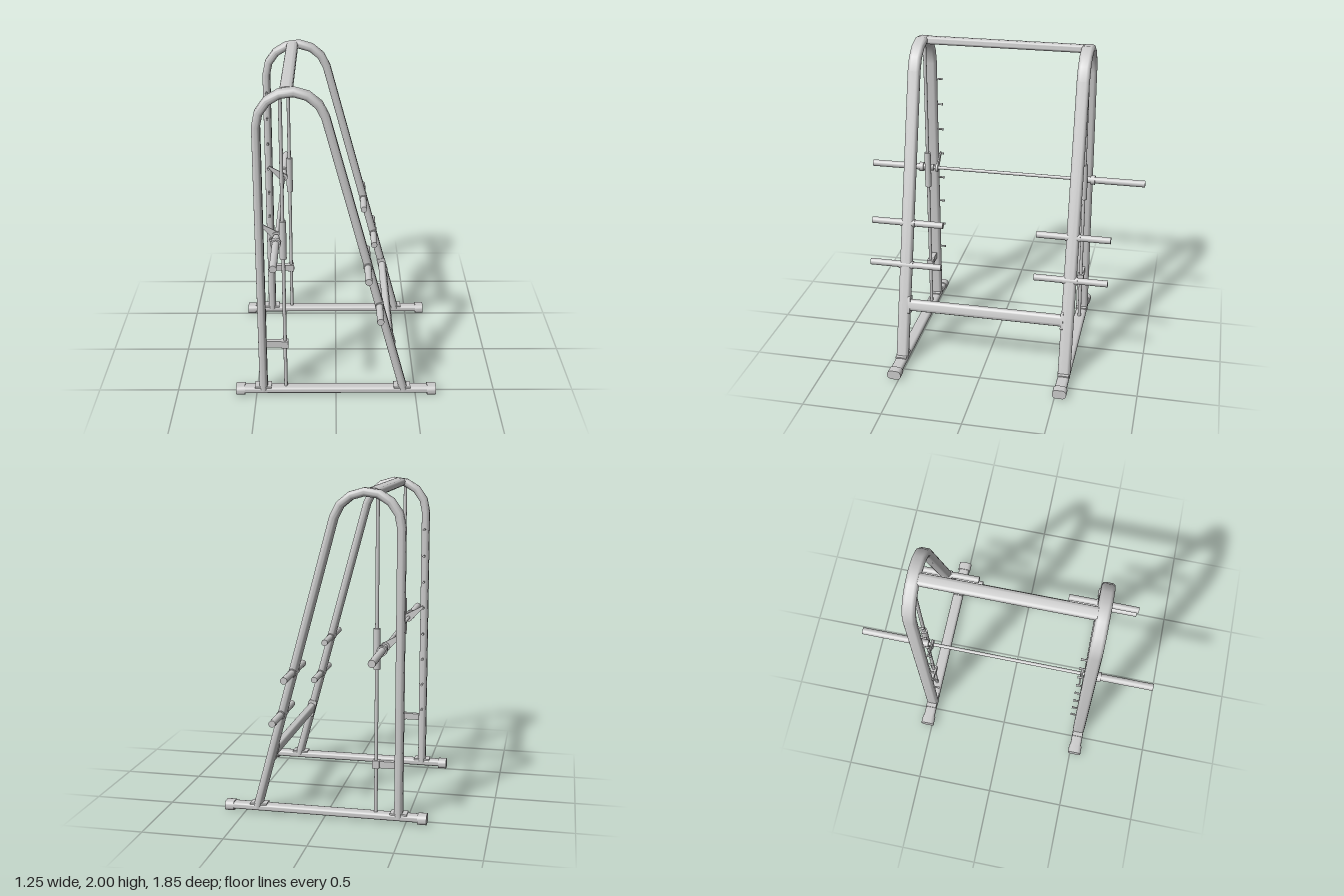
import * as THREE from 'three';
import { toCreasedNormals } from 'three/addons/utils/BufferGeometryUtils.js';

const material = new THREE.MeshStandardMaterial({ color: 0xcccccc });
const LEAN = Math.atan(0.27); // lean of the sloping legs
const FRAME_Z = 0.53;

function add(parent, name, geometry, x = 0, y = 0, z = 0) {
  const mesh = new THREE.Mesh(geometry, material);
  mesh.name = name;
  mesh.position.set(x, y, z);
  parent.add(mesh);
  return mesh;
}

// Flat oval outline, counter-clockwise, with rounded corners of radius r
function oval(w, h, r, steps = 5) {
  const points = [];
  for (let corner = 0; corner < 4; corner++) {
    const sx = corner === 0 || corner === 3 ? 1 : -1;
    const sy = corner < 2 ? 1 : -1;
    for (let i = 0; i <= steps; i++) {
      const a = (corner + i / steps) * Math.PI / 2;
      points.push(new THREE.Vector2(sx * (w / 2 - r) + r * Math.cos(a), sy * (h / 2 - r) + r * Math.sin(a)));
    }
  }
  return points;
}

// Straight oval bar along z, centred
function ovalBar(w, h, r, length) {
  const geo = new THREE.ExtrudeGeometry(new THREE.Shape(oval(w, h, r)), { depth: length, bevelEnabled: false });
  return toCreasedNormals(geo.translate(0, 0, -length / 2), 0.7);
}

// Round bar running along z from z0 to z1
function roundBar(parent, name, r, x, y, z0, z1, sides = 20) {
  const geo = new THREE.CylinderGeometry(r, r, Math.abs(z1 - z0), sides).rotateX(Math.PI / 2);
  return add(parent, name, geo, x, y, (z0 + z1) / 2);
}

// Sweep a section along a path in the xy plane with mitred joints
function sweep(path, section) {
  const positions = [], index = [], n = section.length;
  path.forEach((p, i) => {
    const before = p.clone().sub(path[Math.max(i - 1, 0)]).normalize();
    const after = path[Math.min(i + 1, path.length - 1)].clone().sub(p).normalize();
    const t = before.clone().add(after).normalize();
    const miter = 1 / Math.max(t.dot(before), t.dot(after));
    for (const s of section) positions.push(p.x - t.y * s.x * miter, p.y + t.x * s.x * miter, s.y);
    if (i === 0) return;
    for (let j = 0; j < n; j++) {
      const k = (j + 1) % n, a = (i - 1) * n, b = i * n;
      index.push(a + j, a + k, b + k, a + j, b + k, b + j);
    }
  });
  const geo = new THREE.BufferGeometry();
  geo.setAttribute('position', new THREE.Float32BufferAttribute(positions, 3));
  geo.setIndex(index);
  return toCreasedNormals(geo, 0.7);
}

function buildSide(s) {
  const side = new THREE.Group();
  side.name = s > 0 ? 'frontFrame' : 'backFrame';
  const z = s * FRAME_Z;

  // Arched tube: upright, rounded top, sloping leg
  const path = [new THREE.Vector2(-0.455, 0.03)];
  const r = 0.202, segments = 7;
  for (let i = 0; i <= segments; i++) {
    const a = Math.PI + (LEAN - Math.PI) * i / segments;
    path.push(new THREE.Vector2(-0.253 + r * Math.cos(a), 1.774 + r * Math.sin(a)));
  }
  path.push(new THREE.Vector2(0.425, 0.03));
  add(side, 'archedTube', sweep(path, oval(0.05, 0.08, 0.022)), 0, 0, z);

  // Foot rail with end caps and base plates
  add(side, 'footRail', ovalBar(0.075, 0.042, 0.019, 1.2).rotateY(Math.PI / 2), 0, 0.033, z);
  for (const e of [-1, 1])
    add(side, 'footCap', ovalBar(0.088, 0.06, 0.026, 0.055).rotateY(Math.PI / 2), e * 0.6, 0.03, z);
  for (const x of [-0.457, 0.415])
    add(side, 'basePlate', new THREE.BoxGeometry(0.104, 0.01, 0.07), x, 0.056, z);

  // Guide rod, sliding sleeve and lower stop bracket
  add(side, 'guideRod', new THREE.CylinderGeometry(0.011, 0.011, 1.91, 16), -0.315, 0.995, z);
  add(side, 'slidingSleeve', new THREE.CylinderGeometry(0.021, 0.021, 0.245, 20), -0.315, 1.063, z);
  add(side, 'bracketArm', new THREE.BoxGeometry(0.11, 0.042, 0.03), -0.385, 0.357, z);
  add(side, 'bracketClip', new THREE.BoxGeometry(0.042, 0.048, 0.042), -0.316, 0.357, z);

  // Safety pegs up the inside of the upright
  for (let i = 0; i < 8; i++) {
    const y = 0.425 + i * 0.1764;
    roundBar(side, 'safetyPeg', 0.006, -0.455, y, s * 0.455, s * 0.5, 10);
    roundBar(side, 'safetyPegHead', 0.008, -0.455, y, s * 0.455, s * 0.461, 10);
  }

  // Plate storage pegs through the sloping leg
  for (const [x, y] of [[0.19, 0.9], [0.263, 0.637]]) {
    roundBar(side, 'storagePeg', 0.021, x, y, s * 0.3, s * 0.765);
    roundBar(side, 'storagePegCollar', 0.026, x, y, s * 0.483, s * 0.577);
  }

  // Bar end: loading sleeve, collar, hub and locking lever
  roundBar(side, 'loadingSleeve', 0.022, -0.355, 1.065, s * 0.5, s * 0.925);
  roundBar(side, 'loadingCollar', 0.031, -0.355, 1.065, s * 0.568, s * 0.597);
  roundBar(side, 'leverHub', 0.028, -0.355, 1.065, s * 0.468, s * 0.484);
  const lever = new THREE.Shape([
    new THREE.Vector2(0, -0.027), new THREE.Vector2(0, 0.027),
    new THREE.Vector2(-0.125, 0.014), new THREE.Vector2(-0.125, -0.002), new THREE.Vector2(-0.09, -0.006),
  ]);
  const leverGeo = new THREE.ExtrudeGeometry(lever, { depth: 0.009, bevelEnabled: false }).translate(0, 0, -0.0045);
  add(side, 'lockingLever', leverGeo, -0.355, 1.065, s * 0.474).rotation.z = -0.6;

  // Mounting plate of the lower crossbar
  add(side, 'crossbarPlate', ovalBar(0.058, 0.115, 0.012, 0.016), 0.331, 0.385, s * 0.496).rotation.z = LEAN;
  return side;
}

export function createModel() {
  const model = new THREE.Group();
  model.name = 'smithRack';
  model.add(buildSide(1), buildSide(-1));

  // Parts joining the two frames
  add(model, 'topCrossbar', ovalBar(0.076, 0.05, 0.022, 1.0), -0.281, 1.971).rotation.z = 0.13;
  add(model, 'lowerCrossbar', ovalBar(0.05, 0.076, 0.022, 1.0), 0.331, 0.383).rotation.z = LEAN;
  roundBar(model, 'liftingBar', 0.011, -0.355, 1.065, -0.52, 0.52);
  return model;
}
